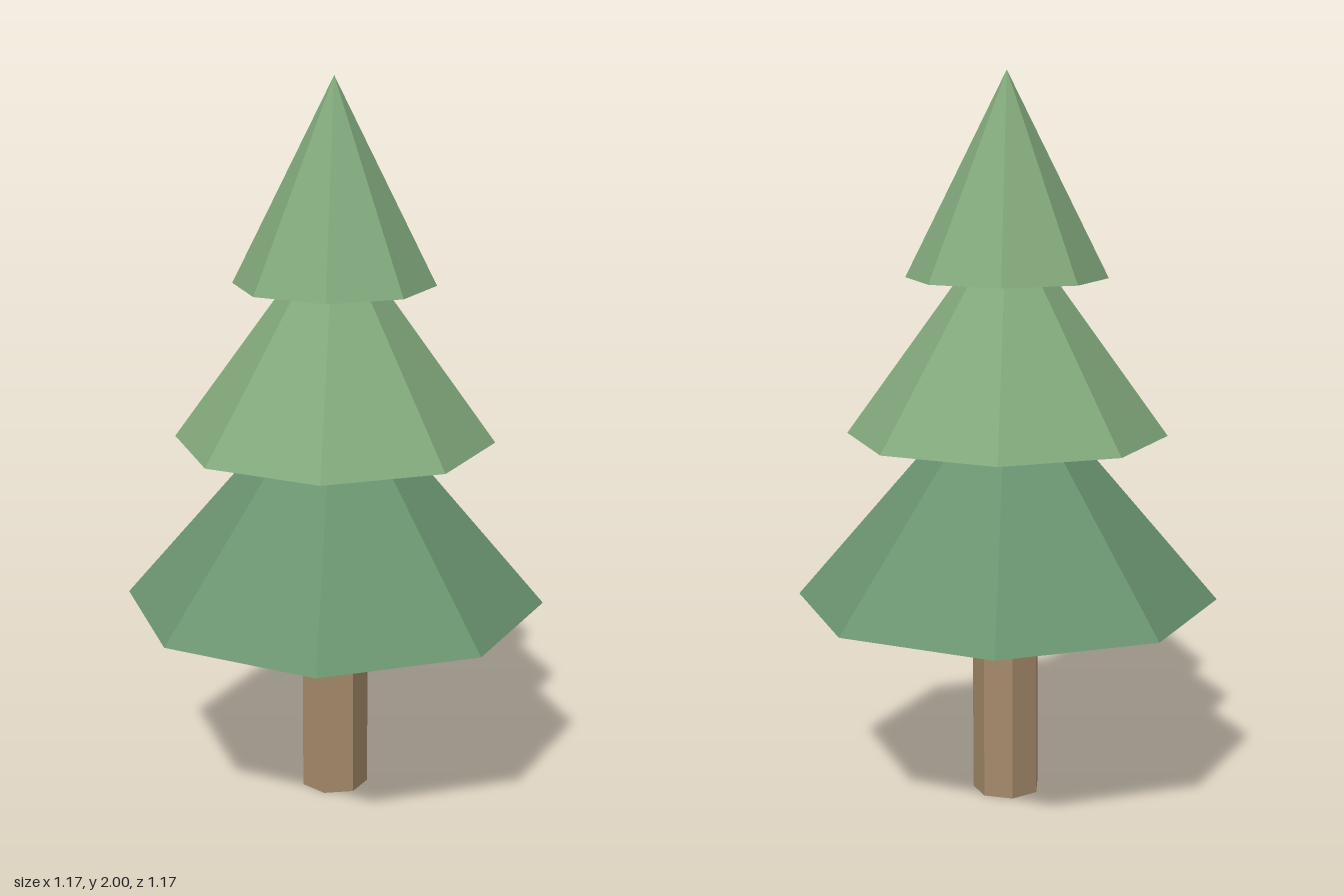
import * as THREE from 'three';

const material = (color) => new THREE.MeshStandardMaterial({ color, flatShading: true });

export function createModel() {
  const tree = new THREE.Group();
  tree.name = 'pineTree';

  const add = (name, geometry, mat, y) => {
    const mesh = new THREE.Mesh(geometry, mat);
    mesh.name = name;
    mesh.position.y = y;
    tree.add(mesh);
  };

  // Seven-sided trunk with one corner pointing to +x
  const trunkHeight = 0.6;
  const trunk = new THREE.CylinderGeometry(0.095, 0.095, trunkHeight, 7).rotateY(Math.PI / 2);
  add('trunk', trunk, material(0xa58a6a), trunkHeight / 2);

  // Three stacked eight-sided foliage cones
  const darkGreen = material(0x6b9470);
  const lightGreen = material(0x82a97c);
  const tiers = [
    { name: 'lowerFoliage', radius: 0.583, base: 0.56, tip: 1.24, mat: darkGreen },
    { name: 'middleFoliage', radius: 0.44, base: 1.02, tip: 1.63, mat: lightGreen },
    { name: 'upperFoliage', radius: 0.275, base: 1.45, tip: 2, mat: lightGreen },
  ];
  for (const { name, radius, base, tip, mat } of tiers) {
    add(name, new THREE.ConeGeometry(radius, tip - base, 8), mat, (base + tip) / 2);
  }

  return tree;
}
